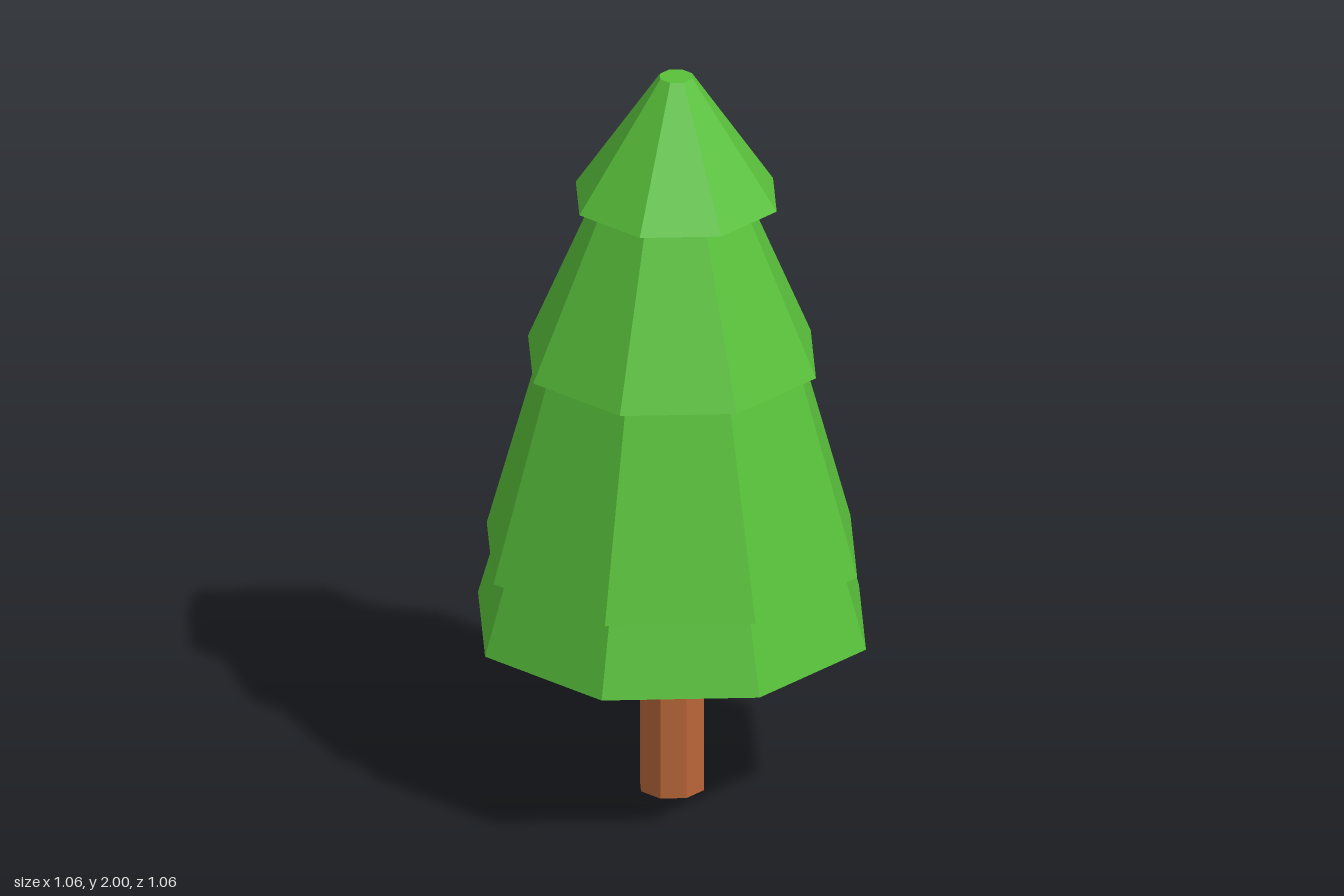
import * as THREE from 'three';

const SIDES = 8;

// Eight-sided tapered block standing on y = bottom, corners on the x and z axes
function frustum(name, material, { bottom, top, rBottom, rTop, x = 0 }) {
  const geometry = new THREE.CylinderGeometry(rTop, rBottom, top - bottom, SIDES);
  const mesh = new THREE.Mesh(geometry, material);
  mesh.name = name;
  mesh.position.set(x, (bottom + top) / 2, 0);
  return mesh;
}

export function createModel() {
  const tree = new THREE.Group();
  tree.name = 'pineTree';

  const bark = new THREE.MeshStandardMaterial({ color: 0xb86538, flatShading: true });
  const needles = new THREE.MeshStandardMaterial({ color: 0x58c03a, flatShading: true });

  // Trunk, running a little way into the foliage
  tree.add(frustum('trunk', bark, { bottom: 0, top: 0.55, rBottom: 0.088, rTop: 0.088 }));

  // Foliage tiers from the ground up, each tucked inside the one above
  const foliage = new THREE.Group();
  foliage.name = 'foliage';
  const tiers = [
    { bottom: 0.465, top: 0.8, rBottom: 0.531, rTop: 0.433 },
    { bottom: 0.665, top: 1.35, rBottom: 0.507, rTop: 0.313 },
    { bottom: 1.21, top: 1.8, rBottom: 0.394, rTop: 0.14 },
    { bottom: 1.66, top: 2, rBottom: 0.275, rTop: 0.045, x: 0.012 },
  ];
  tiers.forEach((tier, i) => foliage.add(frustum(`foliageTier${i + 1}`, needles, tier)));
  tree.add(foliage);

  return tree;
}
